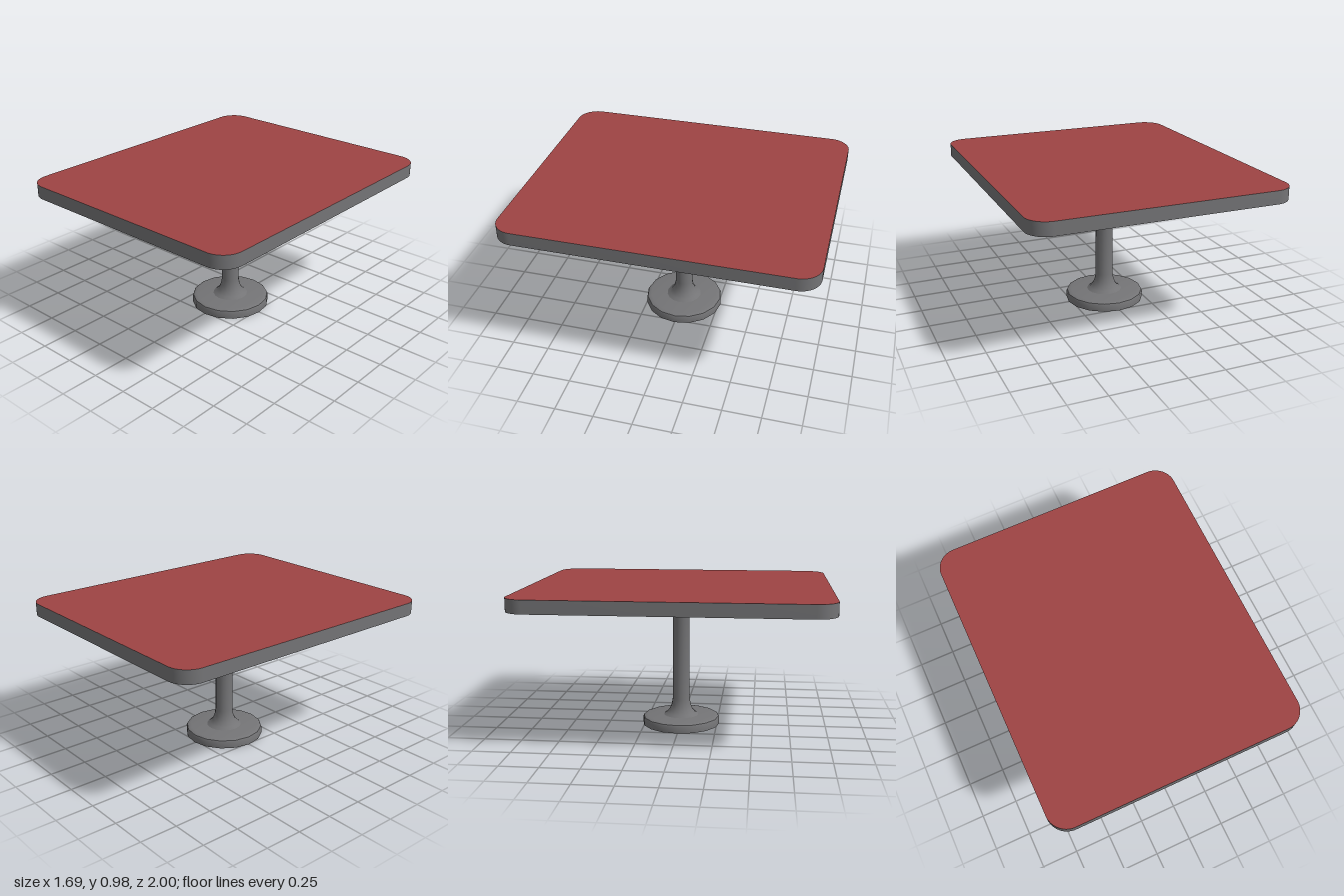
import * as THREE from 'three';
import { toCreasedNormals } from 'three/addons/utils/BufferGeometryUtils.js';

// Rectangle with rounded corners, centred on the origin
function roundedRect(halfW, halfD, r) {
  const s = new THREE.Shape();
  const w = halfW - r, d = halfD - r;
  s.absarc(w, d, r, 0, Math.PI / 2);
  s.absarc(-w, d, r, Math.PI / 2, Math.PI);
  s.absarc(-w, -d, r, Math.PI, Math.PI * 1.5);
  s.absarc(w, -d, r, Math.PI * 1.5, Math.PI * 2);
  s.closePath();
  return s;
}

// Turned part from [radius, height] points, listed bottom to top
function turned(points, material, name) {
  const geo = new THREE.LatheGeometry(points.map(([r, y]) => new THREE.Vector2(r, y)), 16);
  const mesh = new THREE.Mesh(toCreasedNormals(geo, 0.7), material);
  mesh.name = name;
  mesh.position.x = 0.006;
  return mesh;
}

export function createModel() {
  const group = new THREE.Group();
  group.name = 'pedestalTable';

  const red = new THREE.MeshStandardMaterial({ color: 0x9e4444 });
  red.name = 'red laminate';
  const grey = new THREE.MeshStandardMaterial({ color: 0x747476 });
  grey.name = 'grey metal';

  // Table top: red faces, grey edge band
  const bottom = 0.893, top = 0.98;
  const slab = new THREE.ExtrudeGeometry(roundedRect(0.845, 1, 0.135), {
    depth: top - bottom, bevelEnabled: false, curveSegments: 8,
  });
  slab.rotateX(-Math.PI / 2);
  const tableTop = new THREE.Mesh(toCreasedNormals(slab, 0.7), [red, grey]);
  tableTop.name = 'tableTop';
  tableTop.position.y = bottom;
  group.add(tableTop);

  // Round foot with a softened upper rim
  group.add(turned([
    [0, 0], [0.267, 0], [0.267, 0.042], [0.262, 0.054], [0.25, 0.059], [0.235, 0.062], [0, 0.065],
  ], grey, 'foot'));

  // Column, flared at both ends
  group.add(turned([
    [0.122, 0.062], [0.1, 0.077], [0.08, 0.102], [0.066, 0.137], [0.059, 0.18],
    [0.058, 0.78], [0.063, 0.806], [0.076, 0.832], [0.1, 0.856], [0.15, 0.893],
  ], grey, 'column'));

  return group;
}
